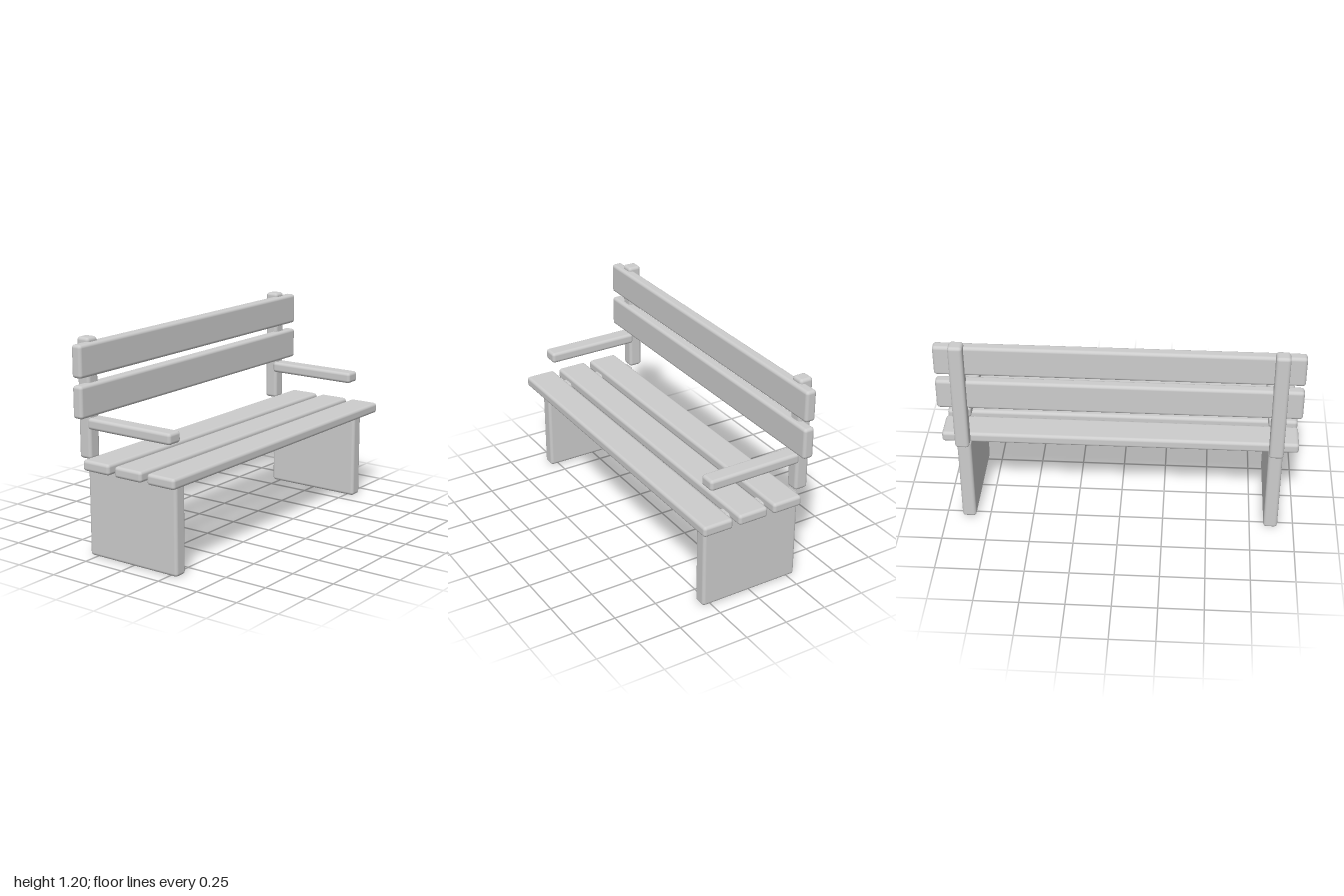
import * as THREE from 'three';
import { RoundedBoxGeometry } from 'three/addons/geometries/RoundedBoxGeometry.js';

export function createModel() {
  const bench = new THREE.Group();
  bench.name = 'bench';
  const paleGrey = new THREE.MeshStandardMaterial({ color: 0xcccccc });
  paleGrey.name = 'paleGrey';

  // Rounded board spanning the given [min, max] ranges
  function board(name, [x0, x1], [y0, y1], [z0, z1], radius = 0.018) {
    const geometry = new RoundedBoxGeometry(x1 - x0, y1 - y0, z1 - z0, 3, radius);
    const mesh = new THREE.Mesh(geometry, paleGrey);
    mesh.position.set((x0 + x1) / 2, (y0 + y1) / 2, (z0 + z1) / 2);
    mesh.name = name;
    bench.add(mesh);
  }

  // Three seat slats, front to back
  ['Front', 'Middle', 'Back'].forEach((place, i) => {
    const z = 0.269 - i * 0.217;
    board('seatSlat' + place, [-1, 1], [0.505, 0.566], [z - 0.09, z + 0.09]);
  });

  // Two backrest slats
  board('backSlatLower', [-1, 1], [0.78, 0.959], [-0.315, -0.251]);
  board('backSlatUpper', [-1, 1], [0.998, 1.177], [-0.315, -0.251]);

  // Mirrored end parts: panel leg, back post and armrest
  for (const [side, s] of [['left', 1], ['right', -1]]) {
    const span = (half) => [s * 0.87 - half, s * 0.87 + half];
    board(side + 'LegPanel', span(0.04), [0.005, 0.532], [-0.297, 0.3]);
    board(side + 'BackPost', span(0.04), [0.539, 1.2], [-0.357, -0.277]);
    board(side + 'Armrest', s > 0 ? [0.817, 0.913] : [-0.913, -0.817], [0.705, 0.768], [-0.294, 0.265]);
  }

  // Rest the leg panels on the ground
  bench.children.filter((m) => m.name.endsWith('LegPanel')).forEach((m) => {
    m.position.y -= 0.0025;
    m.scale.y = 0.532 / 0.527;
  });
  return bench;
}
